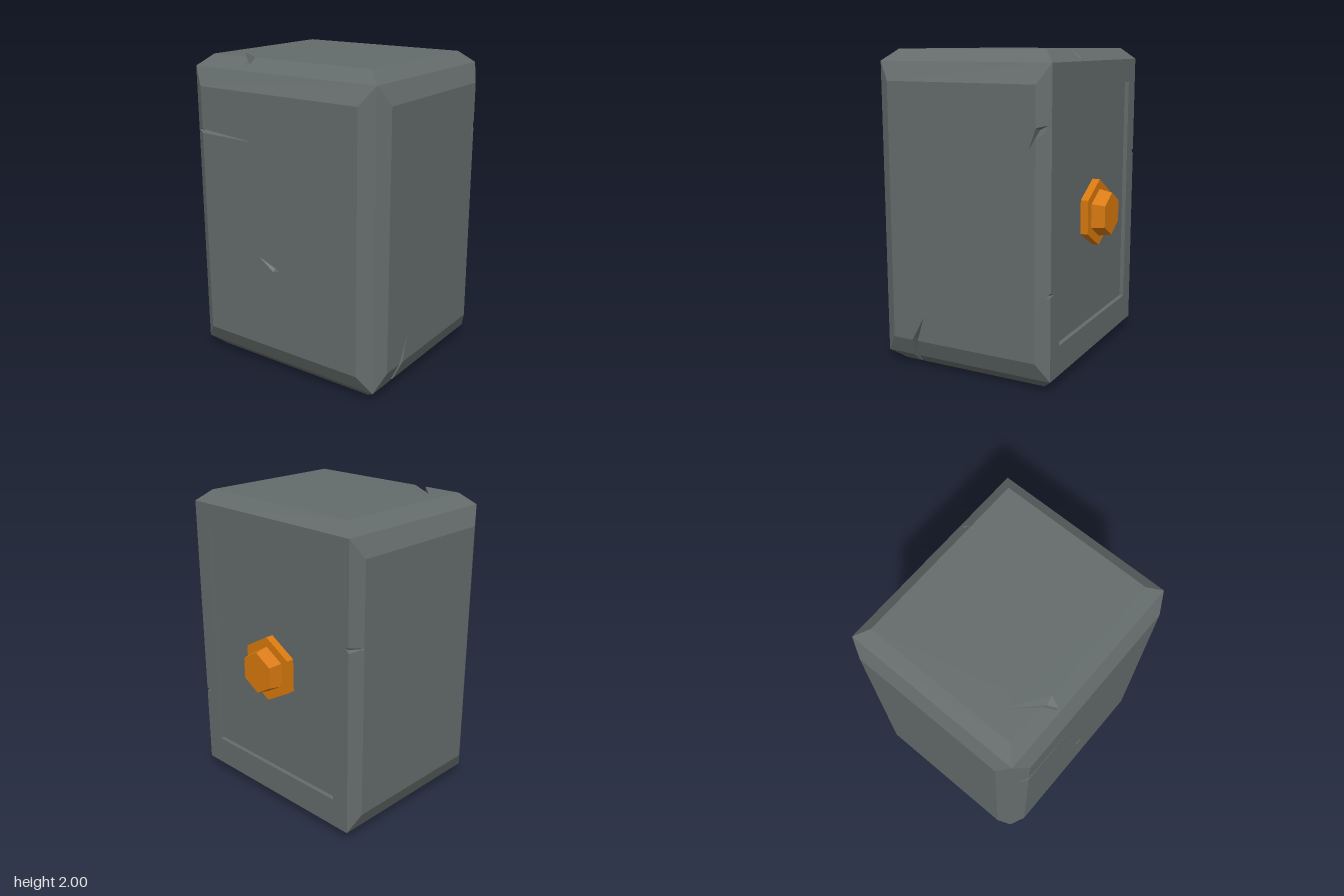
import * as THREE from 'three';
import { ConvexGeometry } from 'three/addons/geometries/ConvexGeometry.js';

const V = (p) => new THREE.Vector3(...p);
const EPS = 1e-5;

// Triangles and outward planes of the convex solid around some points
function convexSolid(points) {
  const pos = new ConvexGeometry(points.map(V)).getAttribute('position');
  const tris = [];
  for (let i = 0; i < pos.count; i += 3) {
    tris.push([0, 1, 2].map((k) => new THREE.Vector3().fromBufferAttribute(pos, i + k)));
  }
  const planes = tris.map((t) => new THREE.Plane().setFromCoplanarPoints(...t));
  return { tris, planes };
}

// Split a convex polygon into its parts outside and inside a plane
function split(poly, plane) {
  const d = poly.map((p) => plane.distanceToPoint(p));
  if (d.every((v) => v <= EPS)) return [null, poly];
  if (d.every((v) => v >= -EPS)) return [poly, null];
  const outside = [], inside = [];
  poly.forEach((p, i) => {
    const j = (i + 1) % poly.length;
    if (d[i] >= -EPS) outside.push(p);
    if (d[i] <= EPS) inside.push(p);
    if ((d[i] > EPS && d[j] < -EPS) || (d[i] < -EPS && d[j] > EPS)) {
      const m = p.clone().lerp(poly[j], d[i] / (d[i] - d[j]));
      outside.push(m);
      inside.push(m);
    }
  });
  return [outside, inside];
}

// Part of a polygon inside all planes, plus the pieces cut away
function clip(poly, planes) {
  const pieces = [];
  let rest = poly;
  for (const plane of planes) {
    const [out, inn] = split(rest, plane);
    if (out) pieces.push(out);
    rest = inn;
    if (!rest) break;
  }
  return { rest, pieces };
}

// Carve convex cutters out of a convex solid
function carve(solid, cutters) {
  let faces = solid.tris;
  for (const cutter of cutters) {
    faces = faces.flatMap((poly) => {
      const { rest, pieces } = clip(poly, cutter.planes);
      return rest ? pieces : [poly];
    });
    for (const tri of cutter.tris) {
      const { rest } = clip(tri, solid.planes);
      if (rest) faces.push([...rest].reverse());
    }
  }
  const data = [];
  for (const f of faces) {
    for (let i = 1; i < f.length - 1; i++) {
      for (const p of [f[0], f[i], f[i + 1]]) data.push(p.x, p.y, p.z);
    }
  }
  const geometry = new THREE.BufferGeometry();
  geometry.setAttribute('position', new THREE.Float32BufferAttribute(data, 3));
  geometry.computeVertexNormals();
  return geometry;
}

export function createModel() {
  const group = new THREE.Group();
  const stone = new THREE.MeshStandardMaterial({ color: 0x646c6b, flatShading: true });
  stone.name = 'stone grey';
  const orange = new THREE.MeshStandardMaterial({ color: 0xd8790d, flatShading: true });
  orange.name = 'orange';

  // Block with two-step bevels in front and a single bevel round the flat back
  const corners = [];
  for (const sx of [-1, 1]) {
    for (const sy of [-1, 1]) {
      const y = (h) => 1 + sy * h;
      corners.push(
        [sx * 0.585, y(0.815), 0.66],
        [sx * 0.67, y(0.928), 0.603],
        [sx * 0.585, y(1), 0.525], [sx * 0.585, y(1), -0.475],
        [sx * 0.72, y(0.81), 0.525], [sx * 0.72, y(0.81), -0.475],
        [sx * 0.67, y(0.928), -0.553],
      );
    }
  }

  // Shallow rectangular recess in the back
  const recess = [];
  for (const x of [-0.55, 0.55]) {
    for (const y of [0.26, 1.775]) {
      for (const z of [-0.6, -0.525]) recess.push([x, y, z]);
    }
  }

  // Wedge-shaped cracks: rim points just outside the surface, keel points within
  const cracks = [
    // front, upper
    [[-0.16, 1.515, 0.661], [-0.6, 1.552, 0.67], [-0.6, 1.52, 0.67], [-0.69, 1.53, 0.62], [-0.58, 1.53, 0.61]],
    // front, middle
    [[-0.15, 0.79, 0.661], [-0.04, 0.706, 0.67], [0.02, 0.728, 0.665], [-0.04, 0.725, 0.635]],
    // top, front edge
    [[-0.48, 2.001, 0.36], [-0.33, 2.01, 0.52], [-0.24, 2.01, 0.52], [-0.245, 1.94, 0.62], [-0.29, 1.95, 0.53]],
    // left side, bottom edge
    [[0.721, 0.35, 0.3], [0.73, 0.2, 0.345], [0.73, 0.2, 0.385], [0.69, 0.08, 0.375], [0.69, 0.08, 0.415],
      [0.6, -0.01, 0.39], [0.6, -0.01, 0.42], [0.68, 0.2, 0.365], [0.64, 0.1, 0.395], [0.56, 0.001, 0.405]],
    // left back edge, upper and lower
    [[0.721, 1.44, -0.43], [0.73, 1.575, -0.475], [0.73, 1.53, -0.48], [0.68, 1.6, -0.565], [0.68, 1.56, -0.485]],
    [[0.705, 0.585, -0.52], [0.68, 0.625, -0.56], [0.68, 0.59, -0.56], [0.62, 0.6, -0.555], [0.66, 0.6, -0.535]],
    // right back edge
    [[-0.725, 1.29, -0.465], [-0.69, 1.31, -0.57], [-0.69, 1.26, -0.57], [-0.64, 1.3, -0.556], [-0.65, 1.28, -0.53]],
    // top back edge
    [[0.25, 2.001, -0.47], [0.22, 1.98, -0.53], [0.26, 1.98, -0.53], [0.23, 1.94, -0.56], [0.24, 1.95, -0.505]],
  ];

  const block = new THREE.Mesh(carve(convexSolid(corners), [recess, ...cracks].map(convexSolid)), stone);
  block.name = 'block';
  group.add(block);

  // Hexagonal button on the back: flat base and tapered knob
  const hexagon = (name, rOuter, rInner, zOuter, zInner) => {
    const mesh = new THREE.Mesh(new THREE.CylinderGeometry(rOuter, rInner, zInner - zOuter, 6), orange);
    mesh.rotation.x = -Math.PI / 2;
    mesh.position.set(0, 0.973, (zOuter + zInner) / 2);
    mesh.name = name;
    group.add(mesh);
  };
  hexagon('buttonBase', 0.214, 0.214, -0.575, -0.52);
  hexagon('buttonKnob', 0.135, 0.152, -0.66, -0.574);

  return group;
}
